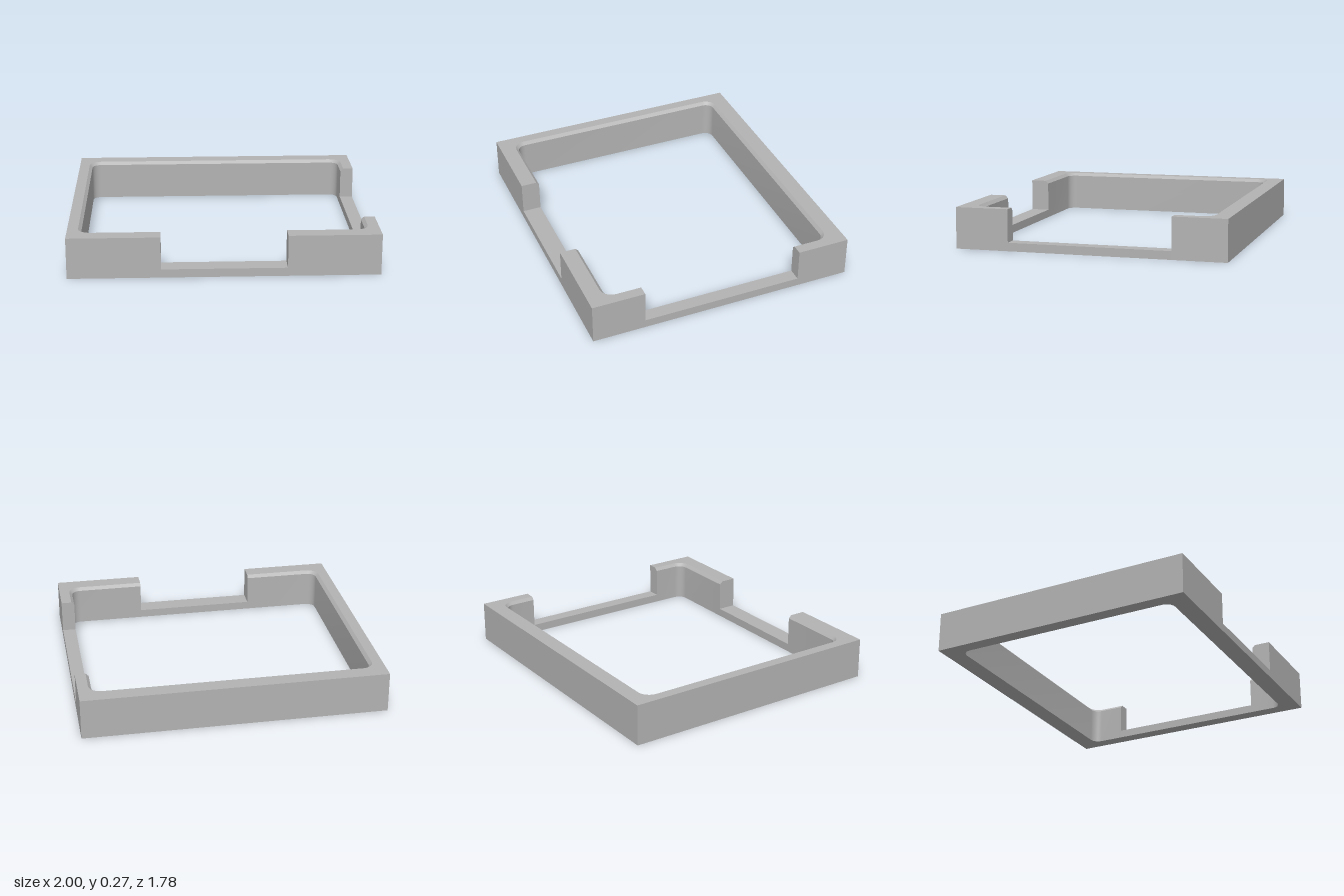
import * as THREE from 'three';
import { toCreasedNormals } from 'three/addons/utils/BufferGeometryUtils.js';

const W = 1, D = 0.89;              // outer half sizes
const IX = 0.91, IZ = 0.765;        // inner half sizes
const R = 0.06, BEVEL = 0.02;       // inner corner radius, rim chamfer
const HIGH = 0.27, LOW = 0.055;     // wall height, height inside the notches
const FRONT_NOTCH = 0.403, SIDE_NOTCH = 0.537; // notch half lengths

// A station pairs an inner point, a chamfer point and an outer point [x, z].
function straight(x, z, nx, nz, low) {
  return {
    low,
    inner: [nx ? nx * IX : x, nz ? nz * IZ : z],
    rim: [nx ? nx * (IX + BEVEL) : x, nz ? nz * (IZ + BEVEL) : z],
    outer: [nx ? nx * W : x, nz ? nz * D : z],
  };
}

// Rounded inside corner, fanned to the sharp outer corner
function corner(sx, sz, startAngle, steps = 6) {
  const at = (t, r) => [sx * (IX - R) + r * Math.cos(t), sz * (IZ - R) - r * Math.sin(t)];
  return Array.from({ length: steps + 1 }, (_, i) => {
    const t = startAngle + (i / steps) * Math.PI / 2;
    return { low: false, inner: at(t, R), rim: at(t, R + BEVEL), outer: [sx * W, sz * D] };
  });
}

// Cross-section of the wall from height y0 up
function section(s, low, y0 = 0) {
  const p = ([x, z], y) => new THREE.Vector3(x, y, z);
  return low
    ? [p(s.inner, y0), p(s.outer, y0), p(s.outer, LOW), p(s.inner, LOW)]
    : [p(s.inner, y0), p(s.outer, y0), p(s.outer, HIGH), p(s.rim, HIGH), p(s.inner, HIGH - BEVEL)];
}

function frameGeometry() {
  const H = Math.PI / 2;
  // Counter-clockwise from above; "low" marks the span that follows a station
  const stations = [
    straight(FRONT_NOTCH, 0, 0, 1, false),
    ...corner(1, 1, -H),
    straight(0, SIDE_NOTCH, 1, 0, true),
    straight(0, -SIDE_NOTCH, 1, 0, false),
    ...corner(1, -1, 0),
    ...corner(-1, -1, H),
    ...corner(-1, 1, 2 * H),
    straight(-FRONT_NOTCH, 0, 0, 1, true),
  ];
  const positions = [];
  const triangle = (a, b, c) => {
    const area = b.clone().sub(a).cross(c.clone().sub(a)).length();
    if (area > 1e-8) for (const v of [a, b, c]) positions.push(v.x, v.y, v.z);
  };
  const n = stations.length;
  stations.forEach((s, i) => {
    const next = stations[(i + 1) % n], previous = stations[(i + n - 1) % n];
    // Wall faces of this span
    const a = section(s, s.low), b = section(next, s.low);
    a.forEach((_, k) => {
      const q = (k + 1) % a.length;
      triangle(a[k], b[k], b[q]);
      triangle(a[k], b[q], a[q]);
    });
    // Upright end face where a notch begins or ends
    if (s.low !== previous.low) {
      const end = section(s, false, LOW);
      if (s.low) end.reverse();
      for (let k = 1; k < end.length - 1; k++) triangle(end[0], end[k], end[k + 1]);
    }
  });
  const geometry = new THREE.BufferGeometry();
  geometry.setAttribute('position', new THREE.Float32BufferAttribute(positions, 3));
  return toCreasedNormals(geometry, 0.5);
}

export function createModel() {
  const group = new THREE.Group();
  group.name = 'notchedFrame';
  const grey = new THREE.MeshStandardMaterial({ color: 0xb3b3b3 });
  grey.name = 'grey';
  const frame = new THREE.Mesh(frameGeometry(), grey);
  frame.name = 'frame';
  group.add(frame);
  return group;
}
